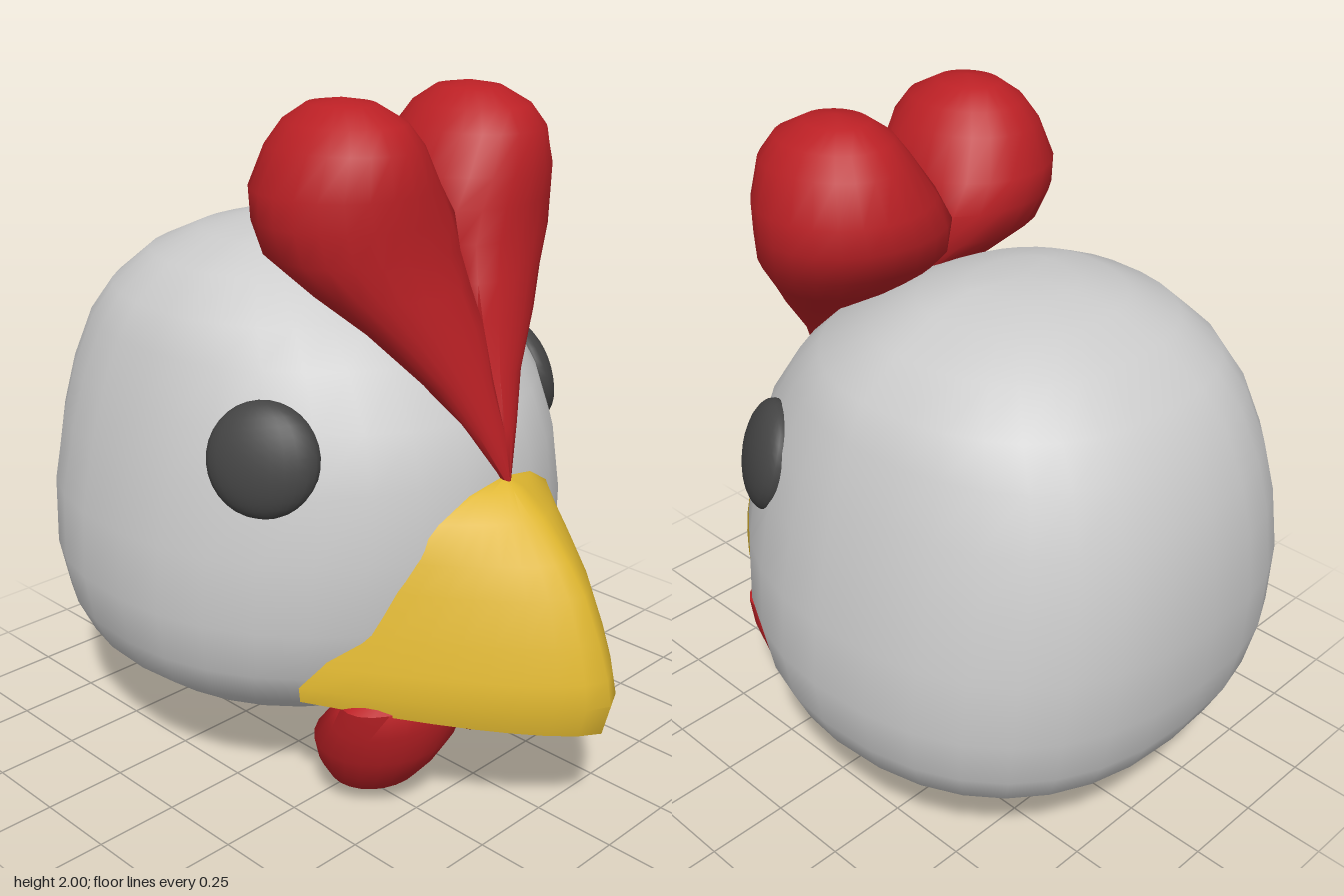
import * as THREE from 'three';
import { mergeVertices, toCreasedNormals } from 'three/addons/utils/BufferGeometryUtils.js';

const white = new THREE.MeshStandardMaterial({ color: 0xcccccc });
const red = new THREE.MeshStandardMaterial({ color: 0xbb2025 });
const yellow = new THREE.MeshStandardMaterial({ color: 0xddb52f, side: THREE.DoubleSide });
const dark = new THREE.MeshStandardMaterial({ color: 0x444444 });

// Skin a stack of rings (bottom to top), each running from +x through +z
function loft(rings, closed) {
  const n = rings[0].length;
  const index = [];
  for (let i = 0; i < rings.length - 1; i++) {
    for (let j = 0; j < (closed ? n : n - 1); j++) {
      const a = i * n + j, b = i * n + (j + 1) % n;
      index.push(a, a + n, b, b, a + n, b + n);
    }
  }
  const geometry = new THREE.BufferGeometry();
  geometry.setAttribute('position', new THREE.Float32BufferAttribute(rings.flat(2), 3));
  geometry.setIndex(index);
  const merged = mergeVertices(geometry, 1e-4);
  merged.computeVertexNormals();
  return merged;
}

function addMesh(parent, name, geometry, material) {
  const mesh = new THREE.Mesh(geometry, material);
  mesh.name = name;
  parent.add(mesh);
  return mesh;
}

// Head section: elliptical in front, squarer behind
function headRing([y, w, front, back]) {
  const zc = Math.min(-0.2, (front + back) / 2 + 0.05);
  const mid = front > zc ? zc : (front + back) / 2;
  return Array.from({ length: 32 }, (_, j) => {
    const a = (j / 32) * Math.PI * 2;
    const c = Math.cos(a), s = Math.sin(a);
    const p = s < 0 ? 2 / 2.35 : 1;
    const depth = s < 0 ? mid - back : front - mid;
    return [w * Math.sign(c) * Math.abs(c) ** p, y, mid + depth * Math.sign(s) * Math.abs(s) ** p];
  });
}

// Lobe of the comb or wattles: oval sections cut off flat at the middle plane
function lobe(rows, side) {
  const rings = rows.map(([y, xc, rx, zc, rz]) => {
    const ring = Array.from({ length: 24 }, (_, j) => {
      const a = (j / 24) * Math.PI * 2;
      return [side * Math.max(0, xc + rx * Math.cos(a)), y, zc + rz * Math.sin(a)];
    });
    return side < 0 ? ring.reverse() : ring;
  });
  return toCreasedNormals(loft(rings, true), 1);
}

// Beak section: from the left edge over the ridge to the right edge
function beakRing([y, halfWidth, edgeZ, ridgeZ, sag = 0]) {
  return Array.from({ length: 17 }, (_, j) => {
    const s = 1 - j / 8, t = Math.abs(s);
    return [halfWidth * s, y - sag * (1 - t), ridgeZ - (ridgeZ - edgeZ) * t ** 1.45];
  });
}

export function createModel() {
  const model = new THREE.Group();
  model.name = 'chickenHead';

  // Head: y, half width, front z, back z
  const headRows = [
    [0.155, 0, -0.27, -0.27], [0.167, 0.24, -0.03, -0.5], [0.2, 0.42, 0.17, -0.65],
    [0.27, 0.58, 0.35, -0.79], [0.35, 0.68, 0.46, -0.87], [0.45, 0.725, 0.53, -0.92],
    [0.6, 0.75, 0.58, -0.955], [0.8, 0.735, 0.59, -0.97], [1.0, 0.69, 0.575, -0.955],
    [1.15, 0.65, 0.52, -0.92], [1.3, 0.595, 0.41, -0.86], [1.4, 0.54, 0.3, -0.78],
    [1.5, 0.43, 0.13, -0.66], [1.56, 0.29, 0.01, -0.53], [1.59, 0.15, -0.12, -0.4],
    [1.598, 0, -0.26, -0.26],
  ];
  addMesh(model, 'head', loft(headRows.map(headRing), true), white);

  // Beak: y, half width, edge z, ridge z, droop of the middle; first row closes the underside
  const beakRows = [
    [0.4, 0.4, 0.25, 0.4], [0.385, 0.525, 0.31, 0.95, 0.05], [0.43, 0.53, 0.31, 0.975],
    [0.5, 0.485, 0.36, 0.96], [0.6, 0.42, 0.42, 0.925], [0.72, 0.35, 0.475, 0.87],
    [0.8, 0.3, 0.51, 0.81], [0.9, 0.23, 0.545, 0.715], [0.96, 0.13, 0.565, 0.63],
    [0.985, 0, 0.575, 0.585],
  ];
  addMesh(model, 'beak', toCreasedNormals(loft(beakRows.map(beakRing), false), 0.9), yellow);

  // Comb and wattle lobes: y, centre x, radius x, centre z, radius z
  const combRows = [
    [0.975, 0, 0.01, 0.585, 0.015], [1.12, 0.02, 0.07, 0.52, 0.055], [1.25, 0.05, 0.12, 0.45, 0.09],
    [1.4, 0.1, 0.2, 0.37, 0.135], [1.5, 0.14, 0.25, 0.28, 0.2], [1.6, 0.18, 0.295, 0.215, 0.245],
    [1.69, 0.205, 0.285, 0.195, 0.26], [1.77, 0.235, 0.255, 0.195, 0.255], [1.88, 0.25, 0.195, 0.21, 0.225],
    [1.94, 0.25, 0.15, 0.21, 0.18], [1.985, 0.25, 0.085, 0.2, 0.1], [2.0, 0.25, 0, 0.2, 0],
  ];
  const wattleRows = [
    [0, 0.23, 0, 0.3, 0], [0.015, 0.23, 0.085, 0.305, 0.08], [0.06, 0.235, 0.145, 0.32, 0.125],
    [0.13, 0.24, 0.19, 0.34, 0.165], [0.2, 0.23, 0.225, 0.355, 0.19], [0.3, 0.225, 0.245, 0.41, 0.16],
    [0.38, 0.225, 0.245, 0.44, 0.13], [0.46, 0.2, 0.1, 0.45, 0.05], [0.47, 0.2, 0, 0.45, 0],
  ];

  for (const side of [1, -1]) {
    const label = side > 0 ? 'left' : 'right';
    addMesh(model, label + 'CombLobe', lobe(combRows, side), red);
    addMesh(model, label + 'Wattle', lobe(wattleRows, side), red);

    // Eye: flattened ball lying against the side of the head
    const eye = addMesh(model, label + 'Eye', new THREE.SphereGeometry(0.16, 24, 16), dark);
    eye.scale.z = 0.45;
    eye.position.set(side * 0.545, 1.08, 0.2);
    const outward = new THREE.Vector3(side * 0.85, 0.25, 0.48).normalize();
    eye.quaternion.setFromUnitVectors(new THREE.Vector3(0, 0, 1), outward);
  }
  return model;
}
